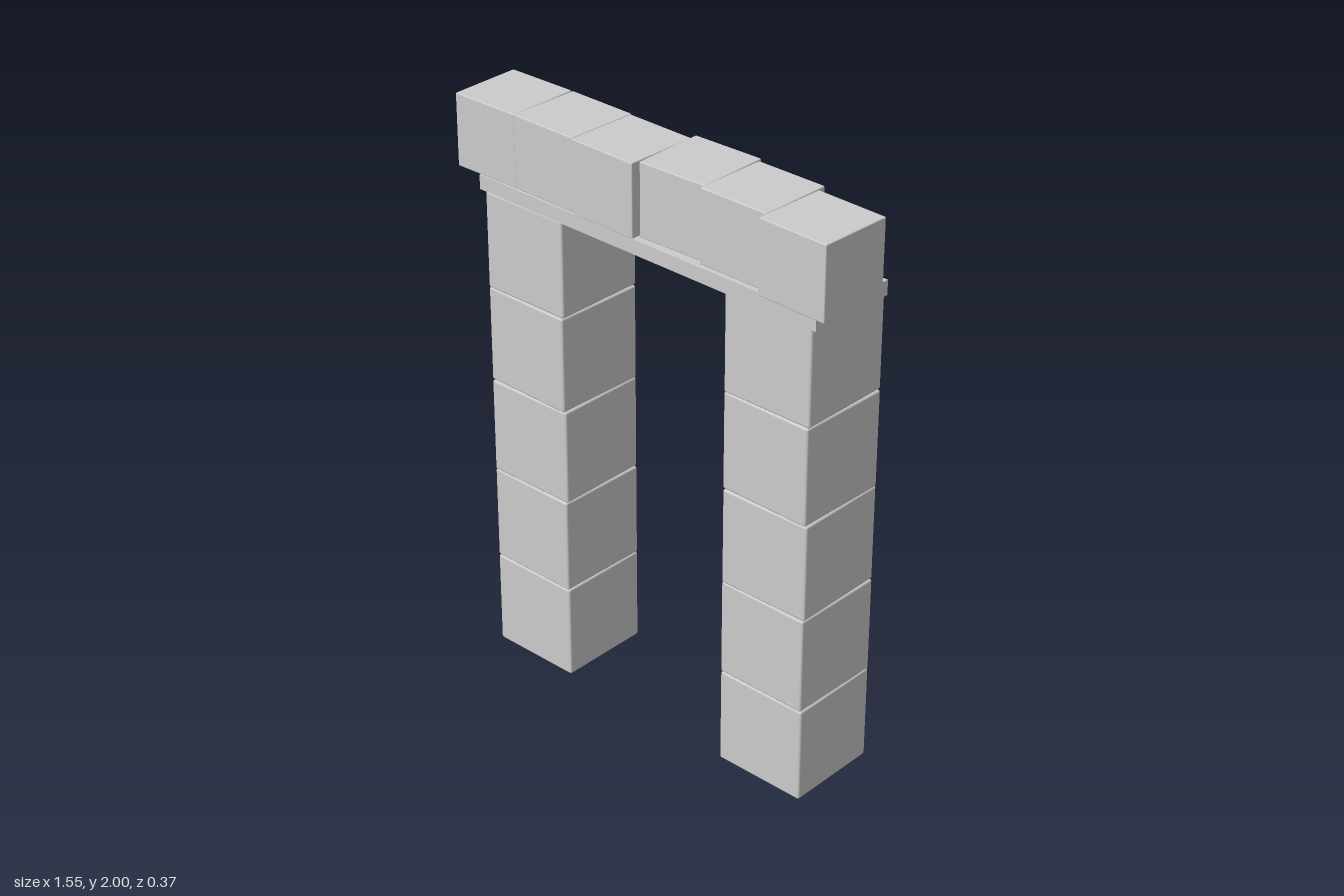
import * as THREE from 'three';
import { RoundedBoxGeometry } from 'three/addons/geometries/RoundedBoxGeometry.js';

export function createModel() {
  const model = new THREE.Group();
  model.name = 'stoneGateway';
  const material = new THREE.MeshStandardMaterial({ color: 0xcccccc });

  function addBlock(parent, name, geometry, x, y, z, turn) {
    const mesh = new THREE.Mesh(geometry, material);
    mesh.name = name;
    mesh.position.set(x, y, z);
    mesh.rotation.y = turn;
    parent.add(mesh);
  }

  // Two pillars of five stacked blocks, each turned a touch
  const pillarGeometry = new RoundedBoxGeometry(0.335, 0.34, 0.335, 2, 0.008);
  const pillarTurns = [0.006, -0.006, 0.01, -0.014, 0.004];
  for (const [name, x] of [['rightPillar', -0.487], ['leftPillar', 0.527]]) {
    const pillar = new THREE.Group();
    pillar.name = name;
    pillarTurns.forEach((turn, i) => {
      addBlock(pillar, 'pillarBlock', pillarGeometry, x, 0.17 + i * 0.34, -0.016, turn);
    });
    model.add(pillar);
  }

  // Flat plank resting on both pillars
  addBlock(model, 'lintelPlank', new THREE.BoxGeometry(1.4, 0.05, 0.32), 0.025, 1.725, 0, -0.01);

  // Uneven row of blocks on the plank: [z, turn]
  const rowGeometry = new RoundedBoxGeometry(0.257, 0.25, 0.257, 2, 0.004);
  const row = new THREE.Group();
  row.name = 'topRow';
  [[0.021, 0.015], [0.021, -0.015], [0.031, -0.02], [0.005, 0.025], [0.02, -0.006], [0.057, -0.028]]
    .forEach(([z, turn], i) => {
      addBlock(row, 'topBlock', rowGeometry, -0.648 + i * 0.2585, 1.875, z, turn);
    });
  model.add(row);

  return model;
}
